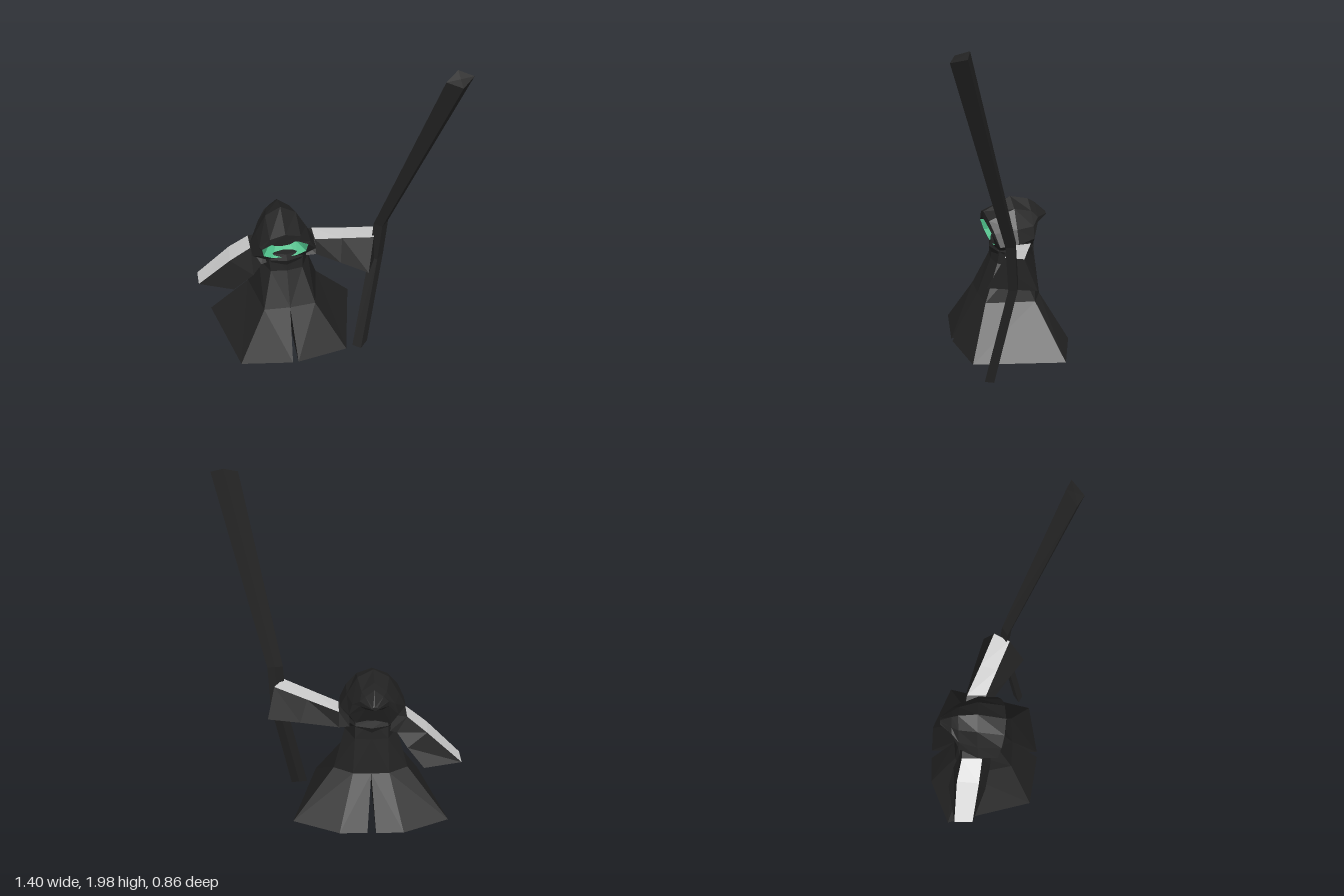
import * as THREE from 'three';

const cloth = new THREE.MeshStandardMaterial({ color: 0x232323 }); cloth.name = 'blackCloth';
const glow = new THREE.MeshStandardMaterial({ color: 0x4dbd88 }); glow.name = 'green';
const pale = new THREE.MeshStandardMaterial({ color: 0xcccccc }); pale.name = 'paleGrey';

// Closed, capped, faceted skin through rings of [x,y,z]; accented(i, j) picks
// the faces between ring i and i+1 at side j that take the accent material.
function loft(name, rings, accent = pale, accented = () => false) {
  const parts = [[], []];
  const n = rings[0].length;
  for (let i = 0; i < rings.length - 1; i++) {
    for (let j = 0; j < n; j++) {
      const k = (j + 1) % n;
      const [a, b, c, d] = [rings[i][j], rings[i][k], rings[i + 1][k], rings[i + 1][j]];
      parts[accented(i, j) ? 1 : 0].push([a, b, c], [a, c, d]);
    }
  }
  const cap = (ring, flip) => {
    const mid = [0, 1, 2].map(q => ring.reduce((s, p) => s + p[q], 0) / n);
    ring.forEach((p, j) => {
      const next = ring[(j + 1) % n];
      parts[0].push(flip ? [mid, next, p] : [mid, p, next]);
    });
  };
  cap(rings[0], true);
  cap(rings[rings.length - 1], false);

  // Turn the faces outward by the sign of the enclosed volume
  const v = p => new THREE.Vector3(...p);
  const all = [...parts[0], ...parts[1]];
  const volume = all.reduce((s, t) => s + v(t[0]).dot(v(t[1]).cross(v(t[2]))), 0);
  if (volume < 0) all.forEach(t => t.reverse());

  const geo = new THREE.BufferGeometry();
  geo.setAttribute('position', new THREE.Float32BufferAttribute(all.flat(2), 3));
  geo.computeVertexNormals();
  geo.addGroup(0, parts[0].length * 3, 0);
  if (parts[1].length) geo.addGroup(parts[0].length * 3, parts[1].length * 3, 1);
  const mesh = new THREE.Mesh(geo, [cloth, accent]);
  mesh.name = name;
  return mesh;
}

const CX = -0.185; // body centre line

// Robe: two halves that part into a slit towards the hem
function robe() {
  const levels = [
    [0.08, [[-0.168, 0.265], [0.14, 0.215], [0.27, -0.315], [0, -0.43], [-0.16, -0.432]]],
    [0.38, [[CX, 0.1], [-0.03, 0.09], [0.03, -0.2], [-0.08, -0.262], [CX, -0.267]]],
    [0.6, [[CX, 0.015], [-0.09, 0], [-0.035, -0.12], [-0.09, -0.235], [CX, -0.245]]],
    [0.72, [[CX, 0], [-0.08, -0.02], [-0.035, -0.12], [-0.09, -0.22], [CX, -0.235]]],
  ];
  const group = new THREE.Group();
  group.name = 'robe';
  for (const side of [1, -1]) {
    const rings = levels.map(([y, pts]) => pts.map(([x, z]) => [CX + side * (x - CX), y, z]));
    group.add(loft(side > 0 ? 'leftRobeHalf' : 'rightRobeHalf', rings));
  }
  return group;
}

// Collar: a faceted roll of cloth round the neck
function collar() {
  const rings = [[0.64, 0.14, 0.125], [0.68, 0.16, 0.14], [0.72, 0.15, 0.125]].map(([y, rx, rz]) =>
    Array.from({ length: 10 }, (_, j) => {
      const a = j / 10 * Math.PI * 2;
      return [CX + rx * Math.sin(a), y, -0.115 + rz * Math.cos(a)];
    }));
  return loft('collar', rings);
}

// Hood: from the recessed face, out over the rim and back to the drooping tip
function hood() {
  // [z, forward lean of the ring, half outline from top to bottom]
  const sections = [
    [-0.06, 0, [[0, 0.85], [0.05, 0.84], [0.085, 0.8], [0.08, 0.755], [0.045, 0.735], [0, 0.73]]],
    [0.03, 0.3, [[0, 0.855], [0.08, 0.835], [0.135, 0.8], [0.125, 0.735], [0.07, 0.705], [0, 0.7]]],
    [0.015, 0.3, [[0, 0.9], [0.09, 0.87], [0.15, 0.81], [0.188, 0.735], [0.11, 0.685], [0, 0.68]]],
    [-0.11, 0, [[0, 0.98], [0.09, 0.93], [0.15, 0.82], [0.19, 0.74], [0.13, 0.68], [0, 0.66]]],
    [-0.22, 0, [[0, 0.955], [0.07, 0.9], [0.12, 0.82], [0.14, 0.75], [0.1, 0.69], [0, 0.67]]],
    [-0.26, 0, [[0, 0.93], [0.05, 0.89], [0.08, 0.86], [0.08, 0.83], [0.05, 0.81], [0, 0.8]]],
    [-0.33, 0, [[0, 0.865], [0.012, 0.86], [0.02, 0.855], [0.02, 0.85], [0.01, 0.845], [0, 0.84]]],
  ];
  const rings = sections.map(([z, lean, half]) => {
    const other = half.slice(1, -1).reverse().map(([x, y]) => [-x, y]);
    return [...half, ...other].map(([x, y]) => [CX - 0.01 + x, y, z + lean * (y - 0.77)]);
  });
  return loft('hood', rings, glow, (i, j) => i === 0 && j >= 2 && j <= 7);
}

// Sleeves: sections of top back, top front, bottom front, bottom back
const leftSleeve = () => loft('leftSleeve', [
  [[-0.06, 0.73, -0.19], [-0.06, 0.73, -0.07], [-0.06, 0.66, -0.03], [-0.06, 0.66, -0.2]],
  [[0, 0.745, -0.18], [0, 0.745, -0.065], [0, 0.66, -0.03], [0, 0.655, -0.2]],
  [[0.18, 0.78, -0.1], [0.15, 0.78, 0], [0.13, 0.645, 0.06], [0.22, 0.65, -0.14]],
  [[0.37, 0.82, -0.02], [0.32, 0.82, 0.075], [0.275, 0.63, 0.165], [0.41, 0.64, -0.085]],
], pale, (i, j) => j === 0 && i > 0);

const rightSleeve = () => loft('rightSleeve', [
  [[-0.3, 0.735, -0.2], [-0.3, 0.735, -0.08], [-0.29, 0.64, -0.04], [-0.29, 0.64, -0.22]],
  [[-0.385, 0.725, -0.205], [-0.385, 0.725, -0.085], [-0.33, 0.63, -0.035], [-0.33, 0.63, -0.22]],
  [[-0.5, 0.635, -0.235], [-0.51, 0.63, -0.105], [-0.38, 0.55, -0.04], [-0.39, 0.55, -0.26]],
  [[-0.705, 0.445, -0.255], [-0.705, 0.445, -0.145], [-0.5, 0.43, -0.07], [-0.485, 0.435, -0.295]],
], pale, (i, j) => j === 0 && i > 0);

// Staff: bent four-sided pole, thicker towards its top
function staff() {
  const corners = [[0, -0.04, 0.05], [0.075, -0.015, -0.015], [0, 0.01, -0.045], [-0.075, -0.02, 0.01]];
  const path = [
    [0.245, 0.045, 0.14, 0.65], [0.352, 0.66, 0.035, 0.6], [0.365, 0.92, 0.055, 0.6],
    [0.625, 1.99, 0.377, 1],
  ];
  return loft('staff', path.map(([x, y, z, s]) =>
    corners.map(([dx, dy, dz]) => [x + dx * s, y + dy * s, z + dz * s])));
}

export function createModel() {
  const model = new THREE.Group();
  model.name = 'hoodedFigure';
  model.add(robe(), collar(), hood(), leftSleeve(), rightSleeve(), staff());
  // Rest the staff foot on the ground
  model.position.y = -new THREE.Box3().setFromObject(model).min.y;
  return model;
}
